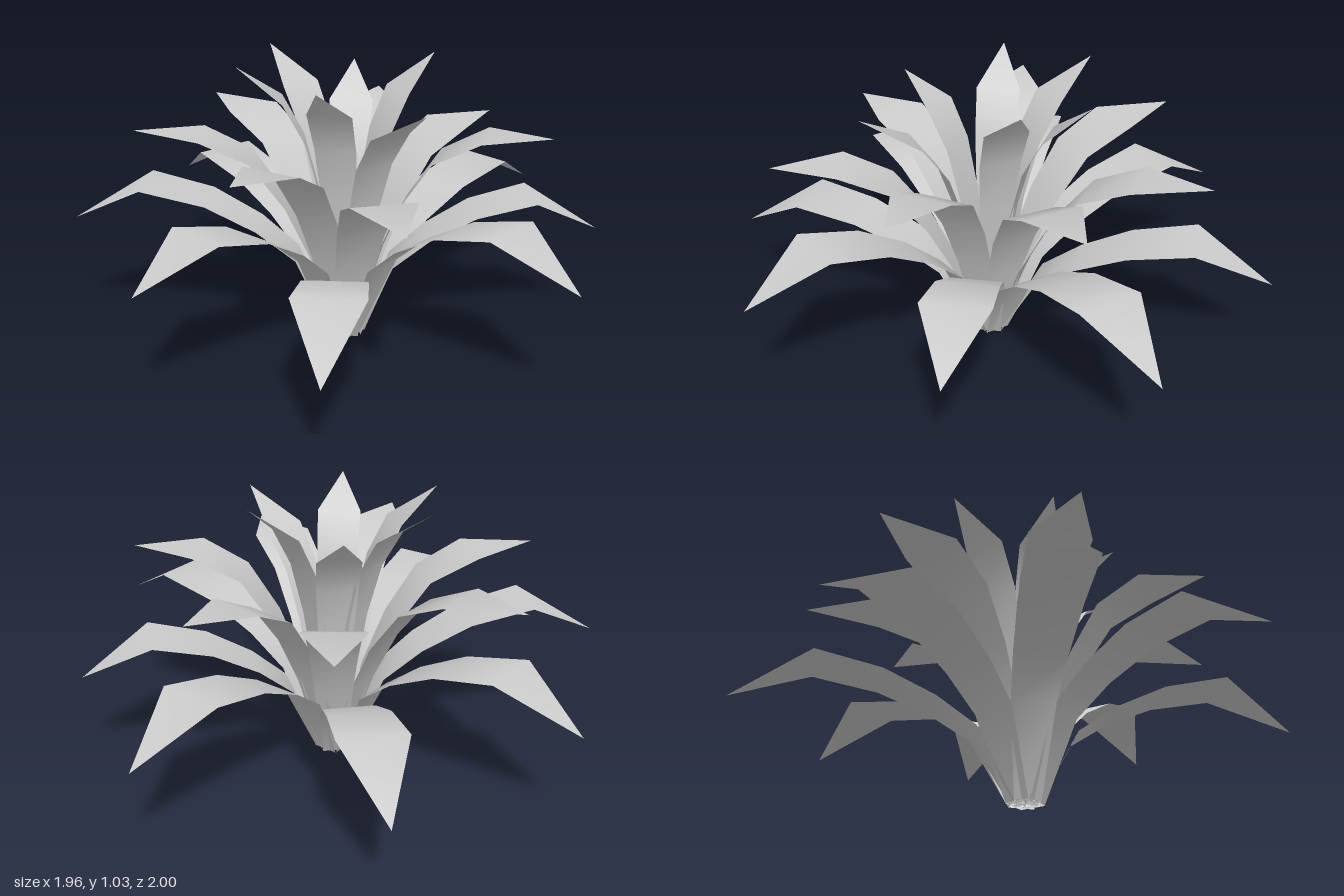
import * as THREE from 'three';

const CENTRE = { x: -0.05, z: 0.025 };
const ROOT_HALF_WIDTH = 0.048;

// Leaves are [tip x, tip z, tip height, shoulder height].
// A profile row is [share of reach, share of shoulder height, half width].
const tiers = [
  {
    name: 'outerLeaf', root: 0.05,
    profile: [[0.18, 0.53, 0.08], [0.32, 0.73, 0.095], [0.5, 0.9, 0.11], [0.73, 1, 0.12]],
    leaves: [[-0.05, -1, 0.4, 0.55], [0.65, -0.745, 0.32, 0.47], [0.98, 0.01, 0.38, 0.53],
      [0.67, 0.605, 0.395, 0.535], [0.05, 1, 0.45, 0.595], [-0.76, 0.72, 0.32, 0.475],
      [-0.98, 0.09, 0.45, 0.58], [-0.76, -0.67, 0.44, 0.585]],
  },
  {
    name: 'middleLeaf', root: 0.03,
    profile: [[0.17, 0.41, 0.07], [0.29, 0.67, 0.085], [0.45, 0.89, 0.1], [0.68, 1, 0.112]],
    leaves: [[-0.05, -0.77, 0.77, 0.76], [0.585, -0.48, 0.745, 0.735], [0.655, 0.08, 0.74, 0.735],
      [0.36, 0.625, 0.805, 0.8], [-0.43, 0.72, 0.69, 0.7], [-0.7, 0.23, 0.78, 0.765],
      [-0.62, -0.46, 0.79, 0.775]],
  },
  {
    name: 'innerLeaf', root: 0,
    profile: [[0.15, 0.35, 0.055], [0.25, 0.62, 0.065], [0.38, 0.84, 0.075], [0.58, 1, 0.08]],
    leaves: [[-0.05, -0.4, 1.03, 0.91], [0.22, -0.23, 0.96, 0.84], [0.305, 0.11, 1.03, 0.91],
      [-0.12, 0.49, 0.945, 0.83], [-0.34, 0.21, 1, 0.89], [-0.35, -0.21, 1.02, 0.9]],
  },
];

// Flat blade: pairs of edge points along an arching spine, closed by a single tip point.
function leafGeometry(tier, [tipX, tipZ, tipY, shoulder]) {
  const dx = tipX - CENTRE.x, dz = tipZ - CENTRE.z;
  const reach = Math.hypot(dx, dz);
  const ux = dx / reach, uz = dz / reach;
  const rows = [[tier.root, 0, ROOT_HALF_WIDTH],
    ...tier.profile.map(([r, h, w]) => [r * reach, h * shoulder, w])];
  const positions = [], index = [];
  rows.forEach(([r, y, w], i) => {
    for (const side of [-1, 1]) {
      positions.push(CENTRE.x + ux * r - uz * w * side, y, CENTRE.z + uz * r + ux * w * side);
    }
    const a = i * 2;
    if (i < rows.length - 1) index.push(a, a + 1, a + 2, a + 1, a + 3, a + 2);
    else index.push(a, a + 1, a + 2);
  });
  positions.push(tipX, tipY, tipZ);
  const geometry = new THREE.BufferGeometry();
  geometry.setAttribute('position', new THREE.Float32BufferAttribute(positions, 3));
  geometry.setIndex(index);
  geometry.computeVertexNormals();
  return geometry;
}

export function createModel() {
  const plant = new THREE.Group();
  plant.name = 'leafyPlant';
  const material = new THREE.MeshStandardMaterial({ color: 0xcccccc, side: THREE.DoubleSide });
  // Three tiers of leaves, from drooping outer to upright inner
  for (const tier of tiers) {
    const ring = new THREE.Group();
    ring.name = tier.name + 'Ring';
    tier.leaves.forEach((leafRow, i) => {
      const leaf = new THREE.Mesh(leafGeometry(tier, leafRow), material);
      leaf.name = tier.name + (i + 1);
      ring.add(leaf);
    });
    plant.add(ring);
  }
  return plant;
}
